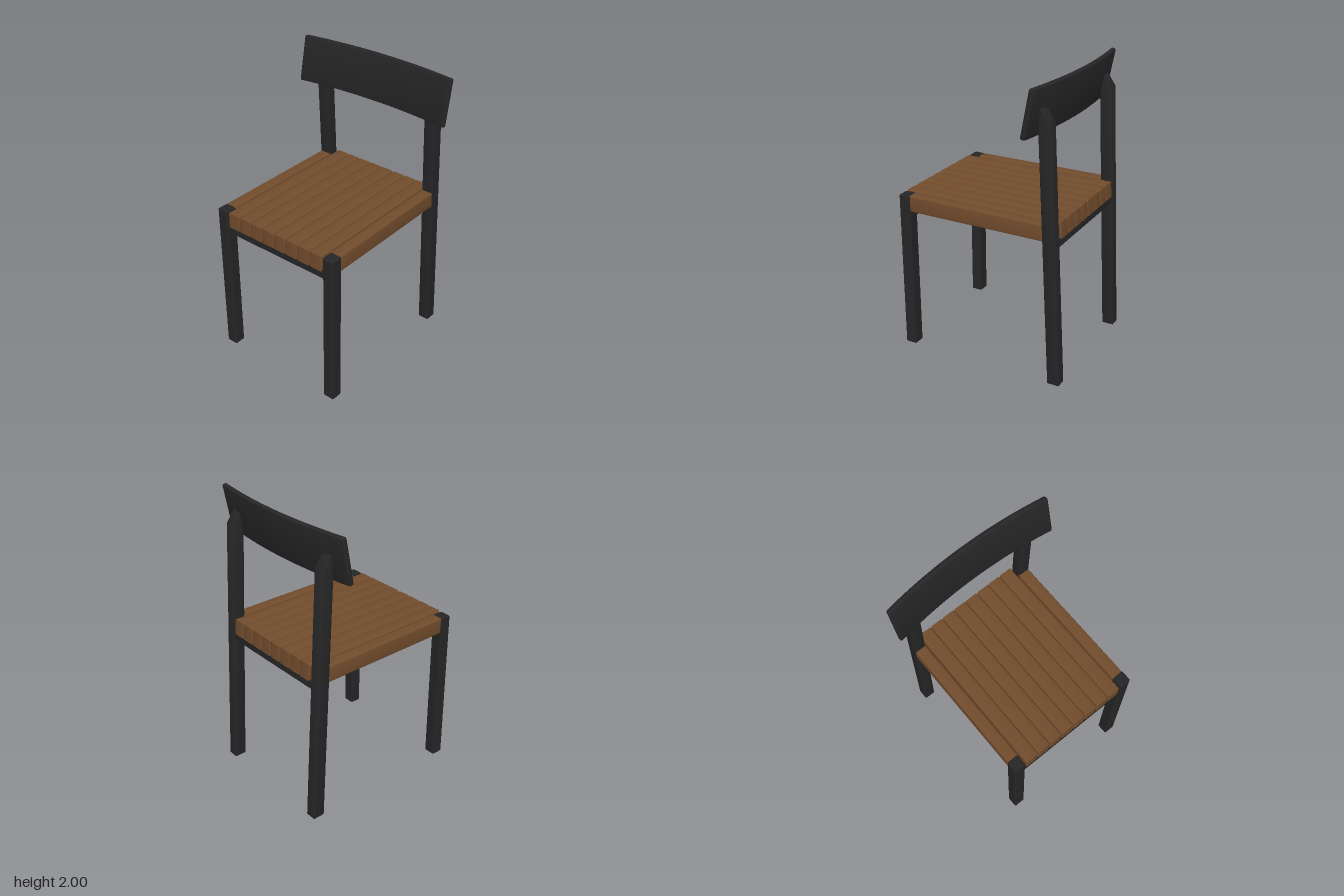
import * as THREE from 'three';
import { toCreasedNormals } from 'three/addons/utils/BufferGeometryUtils.js';
import { RoundedBoxGeometry } from 'three/addons/geometries/RoundedBoxGeometry.js';

export function createModel() {
  const black = new THREE.MeshStandardMaterial({ color: 0x262626 });
  black.name = 'black frame';
  const wood = new THREE.MeshStandardMaterial({ color: 0x734d2d });
  wood.name = 'brown wood';

  const chair = new THREE.Group();
  chair.name = 'chair';

  const add = (name, geometry, material, x = 0, y = 0, z = 0) => {
    const mesh = new THREE.Mesh(geometry, material);
    mesh.name = name;
    mesh.position.set(x, y, z);
    chair.add(mesh);
    return mesh;
  };

  // Side profile of [z, y] points, extruded along x and centred on x = 0
  const prism = (shape, width, bevel, steps = 1) => {
    const g = new THREE.ExtrudeGeometry(shape, {
      depth: width - 2 * bevel, steps, curveSegments: 6,
      bevelEnabled: true, bevelSize: bevel, bevelThickness: bevel, bevelOffset: -bevel, bevelSegments: 3,
    });
    g.translate(0, 0, bevel - width / 2);
    g.rotateY(-Math.PI / 2);
    return g;
  };
  const profile = (points) => new THREE.Shape(points.map(([z, y]) => new THREE.Vector2(z, y)));
  const smooth = (g) => toCreasedNormals(g, 0.7);

  // Leaning line followed by the front and rear faces of the back legs
  const legFront = (y) => -0.515 + 0.05 * y;
  const legRear = (y) => -0.597 + 0.051 * y;

  // Legs and outer seat rails, mirrored
  const backLeg = smooth(prism(profile([
    [legRear(0), 0], [legFront(0), 0], [legFront(1.7), 1.7],
    [-0.432, 1.87], [-0.445, 1.86], [legRear(1.77), 1.77],
  ]), 0.084, 0.008));
  const frontLeg = new RoundedBoxGeometry(0.084, 1.12, 0.082, 3, 0.009);
  const sideRail = smooth(prism(profile([
    [-0.49, 1.01], [0.517, 1.01], [0.517, 1.12], [-0.49, 1.12],
  ]), 0.08, 0.006));
  for (const [side, s] of [['left', 1], ['right', -1]]) {
    add(side + 'BackLeg', backLeg, black, s * 0.452);
    add(side + 'FrontLeg', frontLeg, black, s * 0.452, 0.56, 0.556);
    add(side + 'SeatRail', sideRail, wood, s * 0.45);
  }

  // Cross bars below the slats
  add('frontCrossBar', new RoundedBoxGeometry(0.83, 0.05, 0.08, 2, 0.006), black, 0, 0.986, 0.554);
  add('backCrossBar', smooth(prism(profile([
    [legRear(0.961), 0.961], [legFront(0.961), 0.961], [legFront(1.011), 1.011], [legRear(1.011), 1.011],
  ]), 0.83, 0.006)), black);

  // Seat slats, with rear ends cut to the lean of the legs
  const slat = smooth(prism(profile([
    [-0.553, 1.01], [0.596, 1.01], [0.596, 1.12], [-0.545, 1.12],
  ]), 0.095, 0.007));
  for (let i = 0; i < 8; i++) add('seatSlat' + (i + 1), slat, wood, -0.35 + i * 0.1);

  // Curved, tilted backrest: rounded section extruded in steps, then bent
  const t = 0.0175, h = 0.16, r = 0.012;
  const section = new THREE.Shape();
  section.moveTo(-t + r, -h);
  section.lineTo(t - r, -h);
  section.quadraticCurveTo(t, -h, t, -h + r);
  section.lineTo(t, h - r);
  section.quadraticCurveTo(t, h, t - r, h);
  section.lineTo(-t + r, h);
  section.quadraticCurveTo(-t, h, -t, h - r);
  section.lineTo(-t, -h + r);
  section.quadraticCurveTo(-t, -h, -t + r, -h);
  const rest = prism(section, 1.2, 0.011, 32);
  const p = rest.attributes.position;
  rest.rotateX(-0.19);
  for (let i = 0; i < p.count; i++) {
    const u = p.getX(i) / 0.6;
    p.setZ(i, p.getZ(i) + 0.05 * u * u);
  }
  add('backrest', smooth(rest), black, 0, 1.839, -0.458);

  return chair;
}
